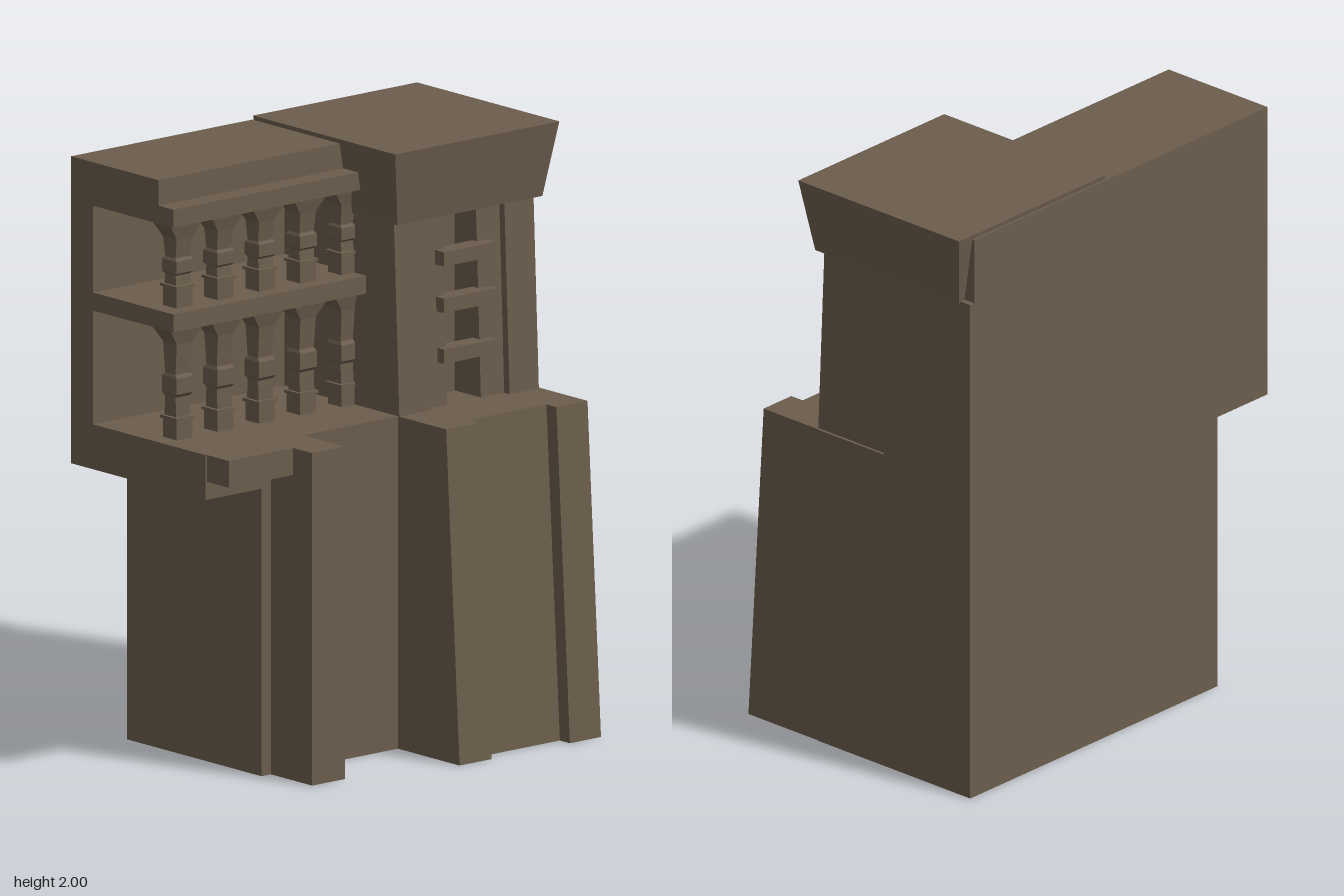
import * as THREE from 'three';

export function createModel() {
  const model = new THREE.Group();
  const stone = new THREE.MeshStandardMaterial({ color: 0x6b5d4c });
  stone.name = 'brown stone';

  // Block between two heights; r = [x0, x1, z0, z1] at the bottom, t = the same at the top
  function block(name, y0, y1, r, t = r, parent = model) {
    const g = new THREE.BoxGeometry(1, 1, 1).toNonIndexed();
    const p = g.attributes.position;
    for (let i = 0; i < p.count; i++) {
      const up = p.getY(i) > 0;
      const c = up ? t : r;
      p.setXYZ(i, p.getX(i) < 0 ? c[0] : c[1], up ? y1 : y0, p.getZ(i) < 0 ? c[2] : c[3]);
    }
    g.computeVertexNormals();
    const m = new THREE.Mesh(g, stone);
    m.name = name;
    parent.add(m);
    return m;
  }

  // Lower body with overhanging terrace
  block('lowerBody', 0, 1.11, [-0.5, 0.69, -0.49, 0.18]);
  block('terraceBase', 0.96, 1.11, [-0.74, -0.5, -0.49, 0.18]);
  block('terraceSlab', 1.02, 1.11, [-0.735, -0.46, -0.4, 0.29]);
  block('frontPillar', 0, 1.11, [-0.46, -0.32, 0.1, 0.385]);

  // Battered buttresses with the recessed panel between them
  for (const [x0, x1] of [[0.083, 0.22], [0.555, 0.688]])
    block('buttress', 0, 1.11, [x0, x1, 0.1, 0.487], [x0, x1, 0.1, 0.42]);
  block('buttressPanel', 0, 1.11, [0.22, 0.555, 0.1, 0.437], [0.22, 0.555, 0.1, 0.37]);

  // Gallery: back wall, floors and roof
  block('galleryWall', 1.11, 1.9, [-0.74, 0.1, -0.49, -0.38]);
  block('galleryFloor', 1.49, 1.55, [-0.74, 0.1, -0.49, 0.02]);
  block('galleryCeiling', 1.84, 1.9, [-0.74, 0.1, -0.49, 0.02]);
  block('galleryRoof', 1.9, 1.985, [-0.74, 0.1, -0.49, -0.055]);

  // Columns: [height from foot, half width, half depth]; the capital hangs from the top
  function column(x, y0, y1) {
    const g = new THREE.Group();
    g.name = 'column';
    const h = y1 - y0;
    const profile = [
      [0, 0.034, 0.034], [0.063, 0.034, 0.034], [0.064, 0.04, 0.04], [0.074, 0.04, 0.04],
      [0.075, 0.031, 0.029], [h * 0.37, 0.031, 0.026], [h * 0.4, 0.036, 0.036],
      [h * 0.54, 0.036, 0.036], [h * 0.57, 0.031, 0.026], [h - 0.06, 0.033, 0.034],
      [h - 0.012, 0.066, 0.045], [h, 0.07, 0.045],
    ];
    const z = -0.07;
    const rect = ([, w, d]) => [x - w, x + w, z - d, z + d];
    for (let i = 0; i < profile.length - 1; i++)
      block('columnSection', y0 + profile[i][0], y0 + profile[i + 1][0],
        rect(profile[i]), rect(profile[i + 1]), g);
    model.add(g);
  }
  for (let i = 0; i < 5; i++) {
    const x = -0.645 + i * 0.1765;
    column(x, 1.11, 1.49);
    column(x, 1.55, 1.84);
  }

  // Tower: rear mass and slightly inset front with a barred slot
  block('towerRear', 1.11, 1.76, [0.08, 0.69, -0.49, -0.11]);
  block('towerCore', 1.11, 1.76, [0.083, 0.68, -0.12, 0.03]);
  for (const [x0, x1] of [[0.083, 0.22], [0.555, 0.68]])
    block('towerPier', 1.11, 1.76, [x0, x1, 0, 0.187], [x0, x1, 0, 0.16]);
  for (const [x0, x1] of [[0.22, 0.31], [0.455, 0.555]])
    block('towerPanel', 1.11, 1.76, [x0, x1, 0, 0.16], [x0, x1, 0, 0.135]);
  for (const y of [1.255, 1.425, 1.58])
    block('slotBar', y, y + 0.048, [0.275, 0.505, 0.12, 0.185]);

  // Flared crown and the wall behind it
  block('crown', 1.75, 2, [0.075, 0.695, -0.445, 0.187], [0.033, 0.735, -0.483, 0.225]);
  block('crownBackWall', 1.75, 1.985, [0.08, 0.67, -0.49, -0.4]);
  return model;
}
